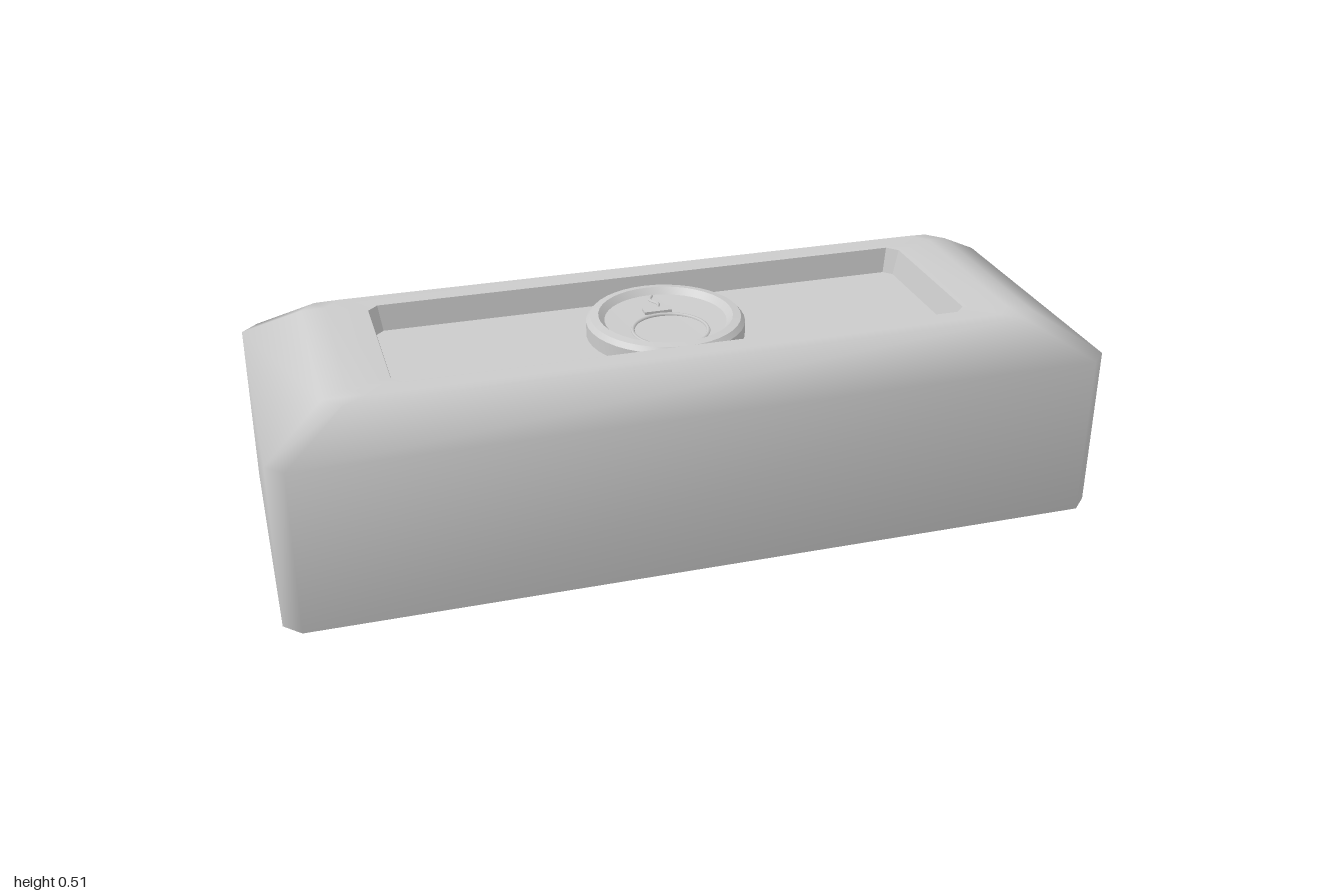
import * as THREE from 'three';
import { toCreasedNormals } from 'three/addons/utils/BufferGeometryUtils.js';

const material = new THREE.MeshStandardMaterial({ color: 0xcccccc });
const SIDES = 40;

function part(group, name, geometry, x = 0, y = 0, z = 0) {
  const mesh = new THREE.Mesh(geometry, material);
  mesh.name = name;
  mesh.position.set(x, y, z);
  group.add(mesh);
  return mesh;
}

// Rectangle with cut corners at height y, anticlockwise seen from above
function cutRect(y, hx, z0, z1, c) {
  return [
    [hx, y, z1 - c], [hx, y, z0 + c], [hx - c, y, z0], [-hx + c, y, z0],
    [-hx, y, z0 + c], [-hx, y, z1 - c], [-hx + c, y, z1], [hx - c, y, z1],
  ];
}

// Skin a stack of equal closed loops, optionally closing either end
function loft(loops, capStart, capEnd) {
  const n = loops[0].length;
  const points = loops.flat();
  const index = [];
  for (let k = 0; k < loops.length - 1; k++) {
    for (let i = 0; i < n; i++) {
      const a = k * n + i, b = k * n + (i + 1) % n;
      index.push(a, b, b + n, a, b + n, a + n);
    }
  }
  const cap = (k, flip) => {
    const centre = [0, 1, 2].map((j) => loops[k].reduce((s, p) => s + p[j], 0) / n);
    points.push(centre);
    const c = points.length - 1;
    for (let i = 0; i < n; i++) {
      const a = k * n + i, b = k * n + (i + 1) % n;
      if (flip) index.push(c, b, a); else index.push(c, a, b);
    }
  };
  if (capStart) cap(0, true);
  if (capEnd) cap(loops.length - 1, false);
  const geometry = new THREE.BufferGeometry();
  geometry.setAttribute('position', new THREE.Float32BufferAttribute(points.flat(), 3));
  geometry.setIndex(index);
  geometry.computeVertexNormals();
  return geometry;
}

function lathe(profile) {
  return toCreasedNormals(
    new THREE.LatheGeometry(profile.map(([r, y]) => new THREE.Vector2(r, y)), SIDES), 0.6);
}

// Peg with a jagged, splintered end; its axis runs along +y
function addPeg(group) {
  part(group, 'pegShaft', new THREE.CylinderGeometry(0.09, 0.09, 0.27, 24, 1, true), 0, 0.135, 0);
  const n = 10;
  const outer = [0.255, 0.28, 0.26, 0.29, 0.26, 0.27, 0.255, 0.3, 0.26, 0.28];
  const inner = [0.3, 0.35, 0.27, 0.3, 0.345, 0.26, 0.35, 0.29, 0.26, 0.32];
  const ring = (radius, heights) => heights.map((h, i) => {
    const a = (i / n) * Math.PI * 2;
    return [radius * Math.cos(a), h, -radius * Math.sin(a)];
  });
  const loops = [ring(0.09, Array(n).fill(0.24)), ring(0.089, outer), ring(0.045, inner), ring(0.015, Array(n).fill(0.25))];
  const crown = loft(loops, false, true).toNonIndexed();
  crown.computeVertexNormals();
  part(group, 'splinteredTip', crown);
}

export function createModel() {
  const model = new THREE.Group();
  model.name = 'buttonBox';

  // Housing with sloped shoulders, open over the tray
  part(model, 'housing', loft([
    cutRect(0, 0.96, -0.19, 0.545, 0.03),
    cutRect(0.01, 1, -0.215, 0.57, 0.04),
    cutRect(0.42, 1, -0.215, 0.57, 0.04),
    cutRect(0.505, 0.86, -0.11, 0.46, 0.04),
    cutRect(0.515, 0.8, -0.09, 0.44, 0.04),
    cutRect(0.51, 0.7, -0.04, 0.39, 0.025),
  ], true, false));

  // Sunken tray
  part(model, 'tray', toCreasedNormals(loft([
    cutRect(0.51, 0.7, -0.04, 0.39, 0.025),
    cutRect(0.445, 0.685, -0.03, 0.38, 0.02),
  ], false, true), 0.6));

  // Round dished push button
  const button = new THREE.Group();
  button.name = 'button';
  button.position.set(0, 0.44, 0.17);
  model.add(button);
  part(button, 'buttonCap', lathe([
    [0.195, 0], [0.195, 0.04], [0.185, 0.052], [0.165, 0.055], [0.15, 0.04], [0, 0.035],
  ]));

  // Raised relief on the button
  const ring = part(button, 'reliefRing', new THREE.TorusGeometry(0.092, 0.005, 6, SIDES), -0.005, 0.038, 0.06);
  ring.rotation.x = Math.PI / 2;
  part(button, 'reliefBar', new THREE.BoxGeometry(0.07, 0.012, 0.025), -0.005, 0.038, -0.055);
  const stem = new THREE.CatmullRomCurve3([[0, -0.07], [0.008, -0.095], [-0.005, -0.12], [0.006, -0.145]]
    .map(([x, z]) => new THREE.Vector3(x, 0.039, z)));
  part(button, 'reliefStem', new THREE.TubeGeometry(stem, 12, 0.005, 6));

  // Hollow collar and broken peg on the back
  const socket = new THREE.Group();
  socket.name = 'rearSocket';
  socket.position.set(0, 0.21, -0.215);
  socket.rotation.x = -Math.PI / 2;
  model.add(socket);
  part(socket, 'collar', lathe([
    [0.168, -0.01], [0.17, 0.085], [0.162, 0.1], [0.13, 0.1], [0.118, 0.09], [0.115, 0.02], [0, 0.02],
  ]));
  addPeg(socket);

  return model;
}
